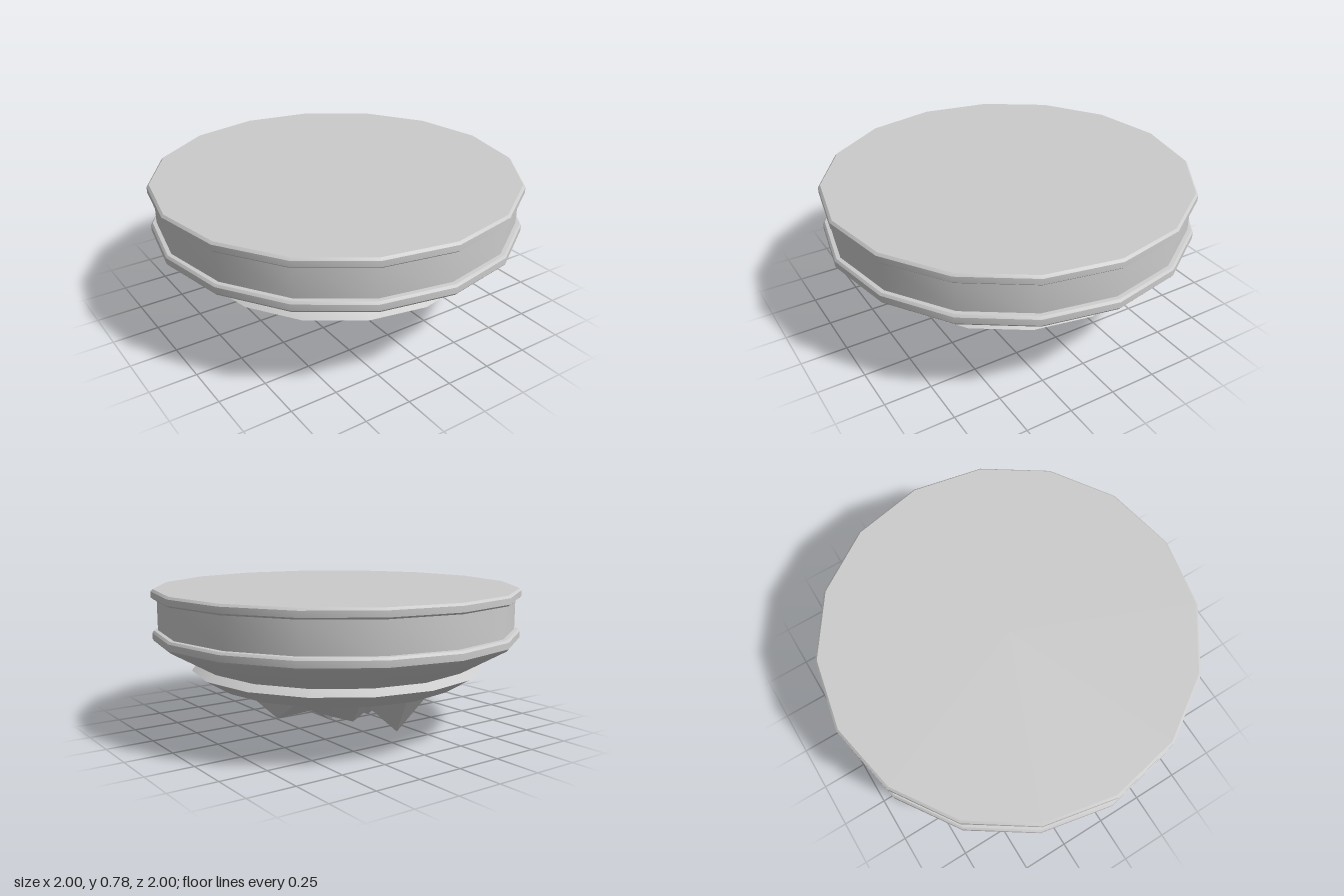
import * as THREE from 'three';
import { toCreasedNormals } from 'three/addons/utils/BufferGeometryUtils.js';

const SIDES = 16;
const material = new THREE.MeshStandardMaterial({ color: 0xcccccc });

function addMesh(group, name, geometry, crease) {
  const mesh = new THREE.Mesh(toCreasedNormals(geometry, crease), material);
  mesh.name = name;
  group.add(mesh);
}

// Turned part from [radius, height] pairs, listed from bottom to top
function turned(profile) {
  return new THREE.LatheGeometry(profile.map(([r, y]) => new THREE.Vector2(r, y)), SIDES);
}

// Jagged underside: concentric rings whose points hang at uneven heights
function brokenRock() {
  const rings = [
    { radius: 0.645, heights: new Array(SIDES).fill(0.33) },
    { radius: 0.39, heights: [0.085, 0.16, 0.15, 0.13, 0.1, 0.2, 0.2, 0.065, 0.2, 0.25, 0.22, 0.005, 0.21, 0.11, 0.15, 0.195] },
    { radius: 0.19, heights: [0.12, 0.1, 0.11, 0.09, 0.14, 0.04, 0.12, 0.1, 0.12, 0.04, 0.11, 0.13, 0.1, 0.17, 0.065, 0.12] },
  ];
  const positions = [];
  const index = [];
  rings.forEach(({ radius, heights }) => heights.forEach((y, i) => {
    const a = (i / SIDES) * Math.PI * 2;
    positions.push(radius * Math.cos(a), y, radius * Math.sin(a));
  }));
  const centre = positions.length / 3;
  positions.push(0, 0.1, 0);
  for (let k = 0; k < rings.length; k++) {
    for (let i = 0; i < SIDES; i++) {
      const a = k * SIDES + i;
      const b = k * SIDES + ((i + 1) % SIDES);
      if (k === rings.length - 1) index.push(a, b, centre);
      else index.push(a, b, a + SIDES, b, b + SIDES, a + SIDES);
    }
  }
  const geometry = new THREE.BufferGeometry();
  geometry.setAttribute('position', new THREE.Float32BufferAttribute(positions, 3));
  geometry.setIndex(index);
  return geometry;
}

export function createModel() {
  const group = new THREE.Group();
  group.name = 'floatingPlatform';
  const crease = THREE.MathUtils.degToRad(28);

  // Flared lower collar with its sharp lip
  addMesh(group, 'lowerCollar', turned([
    [0.645, 0.34], [0.65, 0.26], [0.67, 0.26], [0.8, 0.34], [0.75, 0.37],
  ]), crease);

  // Tapering underside and middle band
  addMesh(group, 'taperAndMiddleBand', turned([
    [0.75, 0.37], [0.99, 0.508], [1, 0.52], [1, 0.553], [0.99, 0.565], [0.97, 0.567],
  ]), crease);

  // Recessed wall between the bands
  addMesh(group, 'recessedWall', turned([[0.97, 0.567], [0.97, 0.733]]), crease);

  // Top band and flat deck
  addMesh(group, 'topDeck', turned([
    [0.97, 0.733], [0.99, 0.733], [1, 0.742], [1, 0.773], [0.988, 0.785], [0, 0.785],
  ]), crease);

  // Broken stone hanging below the collar
  addMesh(group, 'brokenRock', brokenRock(), THREE.MathUtils.degToRad(20));
  return group;
}
